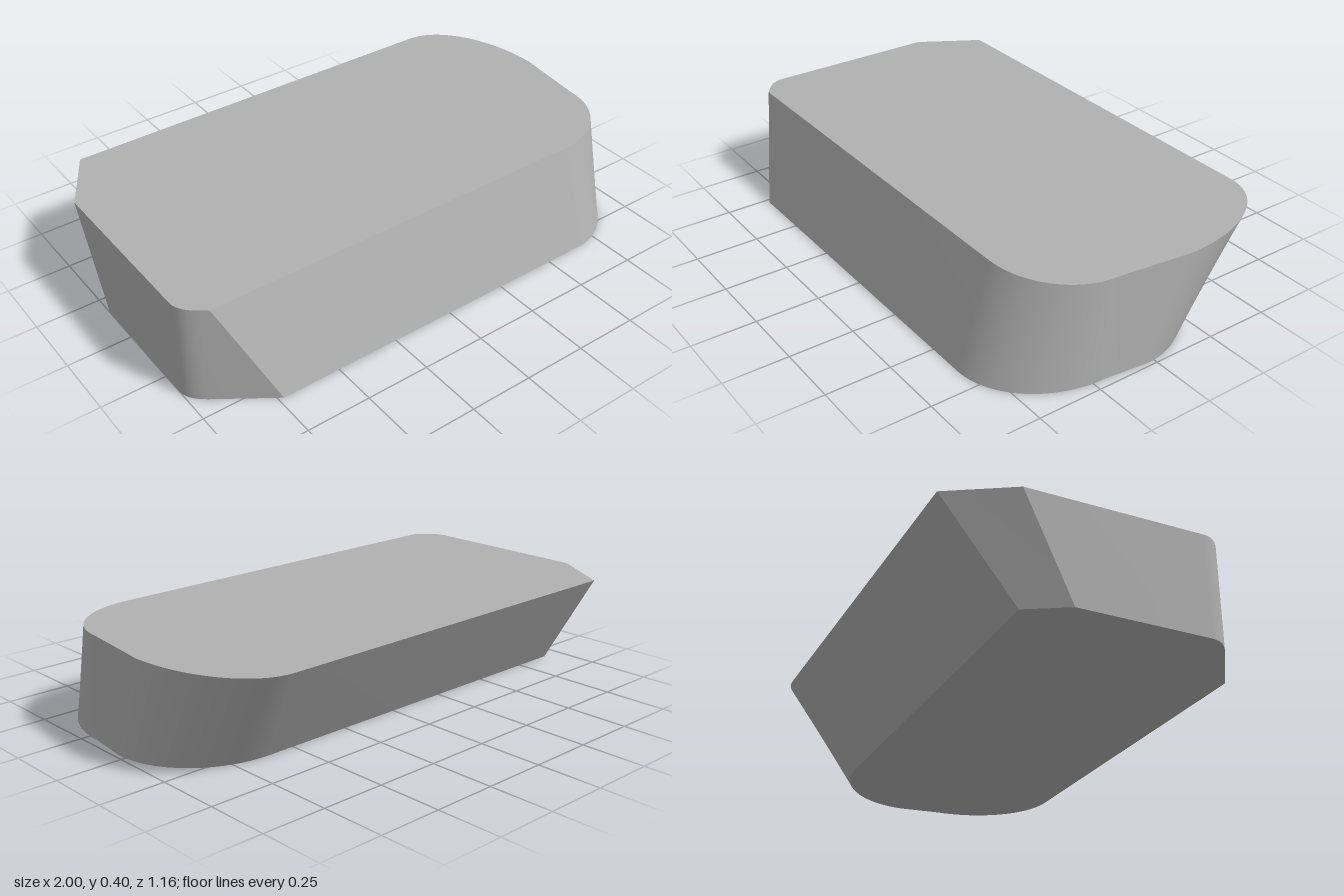
import * as THREE from 'three';
import { toCreasedNormals } from 'three/addons/utils/BufferGeometryUtils.js';

const HEIGHT = 0.395;

// Quarter ellipse from angle a0 to a1 in (x, z)
function arc(cx, cz, rx, rz, a0, a1, n) {
  return Array.from({ length: n + 1 }, (_, i) => {
    const a = a0 + (a1 - a0) * i / n;
    return new THREE.Vector2(cx + rx * Math.cos(a), cz + rz * Math.sin(a));
  });
}

// Closed outline: back edge, right end, front edge, left end
function outline({ backX, backZ, sideX, sideZ, frontZ, frontCz, cutX, chamferX, chamferZ }) {
  const fillet = new THREE.QuadraticBezierCurve(
    new THREE.Vector2(-0.94, 0.432), new THREE.Vector2(-1, 0.39), new THREE.Vector2(-1, 0.34));
  return [
    new THREE.Vector2(chamferX, backZ),
    ...arc(backX, sideZ, sideX - backX, sideZ - backZ, -Math.PI / 2, 0, 24),
    ...arc(0.65, frontCz, 0.316, frontZ - frontCz, 0, Math.PI / 2, 24),
    new THREE.Vector2(cutX, frontZ),
    ...fillet.getPoints(6),
    new THREE.Vector2(-1, chamferZ),
  ];
}

// Loft between two matching outlines, with both ends capped
function loft(low, high) {
  const pos = [];
  const add = (p, y) => pos.push(p.x, y, p.y);
  const n = low.length;
  for (let i = 0; i < n; i++) {
    const j = (i + 1) % n;
    add(low[i], 0); add(high[i], HEIGHT); add(high[j], HEIGHT);
    add(low[i], 0); add(high[j], HEIGHT); add(low[j], 0);
  }
  for (const [ring, y, up] of [[low, 0, false], [high, HEIGHT, true]]) {
    for (const [a, b, c] of THREE.ShapeUtils.triangulateShape(ring, [])) {
      const area = (ring[b].x - ring[a].x) * (ring[c].y - ring[a].y)
        - (ring[b].y - ring[a].y) * (ring[c].x - ring[a].x);
      const order = (area < 0) === up ? [a, b, c] : [a, c, b];
      order.forEach(k => add(ring[k], y));
    }
  }
  const geo = new THREE.BufferGeometry();
  geo.setAttribute('position', new THREE.Float32BufferAttribute(pos, 3));
  return toCreasedNormals(geo, 0.45);
}

export function createModel() {
  const group = new THREE.Group();
  group.name = 'slantedBlock';
  const grey = new THREE.MeshStandardMaterial({ color: 0xb0b0b0 });
  grey.name = 'grey';

  const bottom = outline({
    backX: 0.61, backZ: -0.317, sideX: 0.985, sideZ: 0.03,
    frontZ: 0.578, frontCz: 0.2, cutX: -0.73, chamferX: -0.913, chamferZ: -0.165,
  });
  const top = outline({
    backX: 0.72, backZ: -0.578, sideX: 1, sideZ: -0.12,
    frontZ: 0.45, frontCz: 0.17, cutX: -0.914, chamferX: -0.86, chamferZ: -0.34,
  });

  const body = new THREE.Mesh(loft(bottom, top), grey);
  body.name = 'body';
  group.add(body);
  return group;
}
